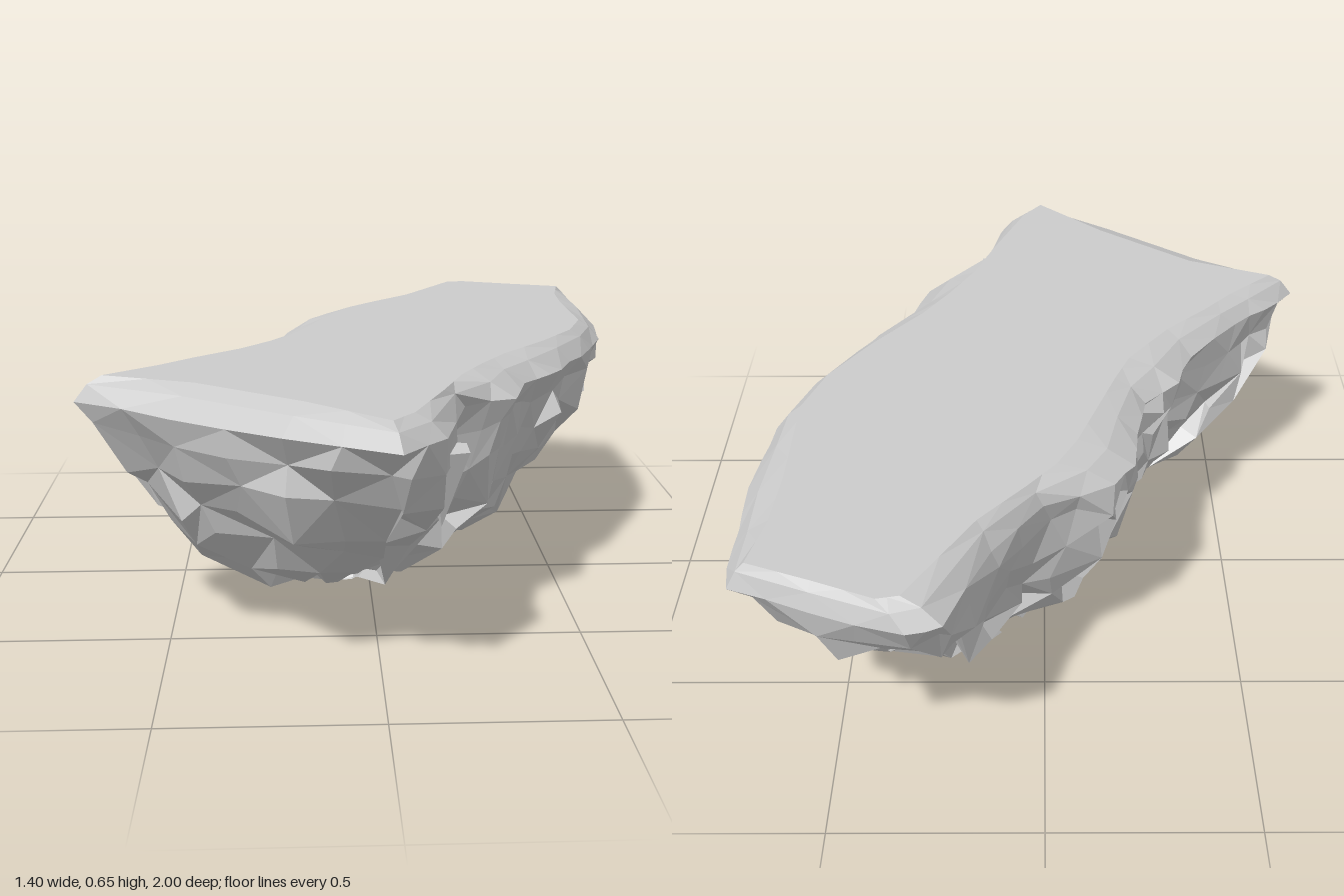
import * as THREE from 'three';

// Plan outline: outer x, outer z, flat-top x, flat-top z
const OUTLINE = [
  [-0.71, 0.49, -0.64, 0.48], [-0.62, 0.38, -0.52, 0.37], [-0.53, 0.30, -0.44, 0.28],
  [-0.39, 0.13, -0.33, 0.17], [-0.35, 0.00, -0.22, 0.02], [-0.26, -0.10, -0.18, -0.08],
  [-0.23, -0.24, -0.13, -0.22], [-0.22, -0.38, -0.08, -0.36], [-0.17, -0.46, -0.03, -0.46],
  [0.00, -0.55, 0.04, -0.55], [0.12, -0.71, 0.15, -0.68], [0.21, -0.97, 0.30, -0.94],
  [0.29, -1.00, 0.35, -0.95], [0.50, -0.92, 0.49, -0.89], [0.68, -0.84, 0.64, -0.83],
  [0.70, -0.70, 0.61, -0.68], [0.71, -0.57, 0.60, -0.52], [0.68, -0.36, 0.60, -0.35],
  [0.66, -0.22, 0.60, -0.21], [0.61, -0.08, 0.55, -0.06], [0.53, 0.08, 0.45, 0.10],
  [0.45, 0.24, 0.33, 0.26], [0.37, 0.34, 0.26, 0.38], [0.33, 0.50, 0.20, 0.50],
  [0.20, 0.57, 0.14, 0.67], [0.13, 0.88, 0.06, 0.88], [0.03, 1.00, 0.01, 0.95],
  [-0.22, 0.87, -0.17, 0.77], [-0.47, 0.67, -0.42, 0.57],
];

// Rings from the top down: y, flat-to-outer mix, pull to keel, roughness, min/max x, min/max z
const RINGS = [
  [0.65, 0, 0, 0, -1, 1, -1, 1],
  [0.63, 0.5, 0, 0, -1, 1, -1, 1],
  [0.59, 1, 0, 0.004, -0.71, 0.69, -1, 1],
  [0.52, 1, 0.05, 0.024, -0.67, 0.70, -0.95, 0.93],
  [0.44, 1, 0.10, 0.034, -0.62, 0.63, -0.87, 0.85],
  [0.34, 1, 0.20, 0.036, -0.55, 0.52, -0.75, 0.74],
  [0.25, 1, 0.33, 0.036, -0.49, 0.45, -0.64, 0.64],
  [0.17, 1, 0.45, 0.036, -0.43, 0.38, -0.56, 0.52],
  [0.11, 1, 0.64, 0.032, -0.27, 0.30, -0.46, 0.36],
  [0.07, 1, 0.83, 0.022, -0.17, 0.24, -0.36, 0.24],
  [0.05, 1, 1, 0, -1, 1, -1, 1],
];

const KEEL = new THREE.Line3(new THREE.Vector3(-0.1, 0, 0.24), new THREE.Vector3(0.15, 0, -0.3));

function seeded(seed) {
  return () => {
    seed = (seed * 16807) % 2147483647;
    return (seed / 2147483647) * 2 - 1;
  };
}

// Outline with a midpoint added on every side
function refinedOutline() {
  return OUTLINE.flatMap((p, i) => {
    const q = OUTLINE[(i + 1) % OUTLINE.length];
    return [p, p.map((v, k) => (v + q[k]) / 2)];
  });
}

function makeRing([y, mix, pull, rough, x0, x1, z0, z1], plan, rnd) {
  return plan.map(([ox, oz, fx, fz]) => {
    const p = new THREE.Vector3(fx + (ox - fx) * mix, 0, fz + (oz - fz) * mix);
    p.lerp(KEEL.closestPointToPoint(p, true, new THREE.Vector3()), pull);
    p.x = THREE.MathUtils.clamp(p.x, x0, x1) + rnd() * rough;
    p.z = THREE.MathUtils.clamp(p.z, z0, z1) + rnd() * rough;
    p.y = y + rnd() * rough * 0.9;
    return p;
  });
}

function toGeometry(triangles) {
  const geometry = new THREE.BufferGeometry().setFromPoints(triangles);
  geometry.computeVertexNormals();
  return geometry;
}

export function createModel() {
  const model = new THREE.Group();
  model.name = 'floatingRock';
  const material = new THREE.MeshStandardMaterial({ color: 0xcccccc, flatShading: true });
  const rnd = seeded(4711);
  const plan = refinedOutline();
  const rings = RINGS.map((r) => makeRing(r, plan, rnd));
  const n = plan.length;

  const add = (name, geometry) => {
    const mesh = new THREE.Mesh(geometry, material);
    mesh.name = name;
    model.add(mesh);
    return mesh;
  };

  // Level ground on top
  const centre = new THREE.Vector3(0.08, 0.65, 0);
  add('flatTop', toGeometry(rings[0].flatMap((p, j) => [centre, rings[0][(j + 1) % n], p])));

  // Bevelled rim and craggy underside, with alternating diagonals
  const band = (from, to) => {
    const tris = [];
    for (let i = from; i < to; i++) {
      for (let j = 0; j < n; j++) {
        const k = (j + 1) % n;
        const a = rings[i][j], b = rings[i][k], c = rings[i + 1][k], d = rings[i + 1][j];
        if ((i + j) % 2) tris.push(a, b, c, a, c, d);
        else tris.push(a, b, d, b, c, d);
      }
    }
    return toGeometry(tris);
  };
  add('rim', band(0, 2));
  add('underside', band(2, rings.length - 1));

  // Jagged spurs: tip x, y, z, radius, height
  const spurs = [
    [0.05, 0, -0.15, 0.07, 0.14], [-0.08, 0.03, 0.02, 0.08, 0.12],
    [-0.16, 0.04, 0.14, 0.09, 0.14], [0.21, 0.055, -0.30, 0.10, 0.14],
    [0.32, 0.12, -0.42, 0.10, 0.16], [0.42, 0.19, -0.30, 0.09, 0.18],
    [-0.28, 0.15, 0.40, 0.11, 0.12], [0.13, 0.36, 0.76, 0.07, 0.18],
  ];
  spurs.forEach(([x, y, z, radius, height], i) => {
    const cone = new THREE.ConeGeometry(radius, height, 5);
    cone.rotateX(Math.PI).rotateY(i * 1.3).translate(x, y + height / 2, z);
    add('spur', cone);
  });

  return model;
}
